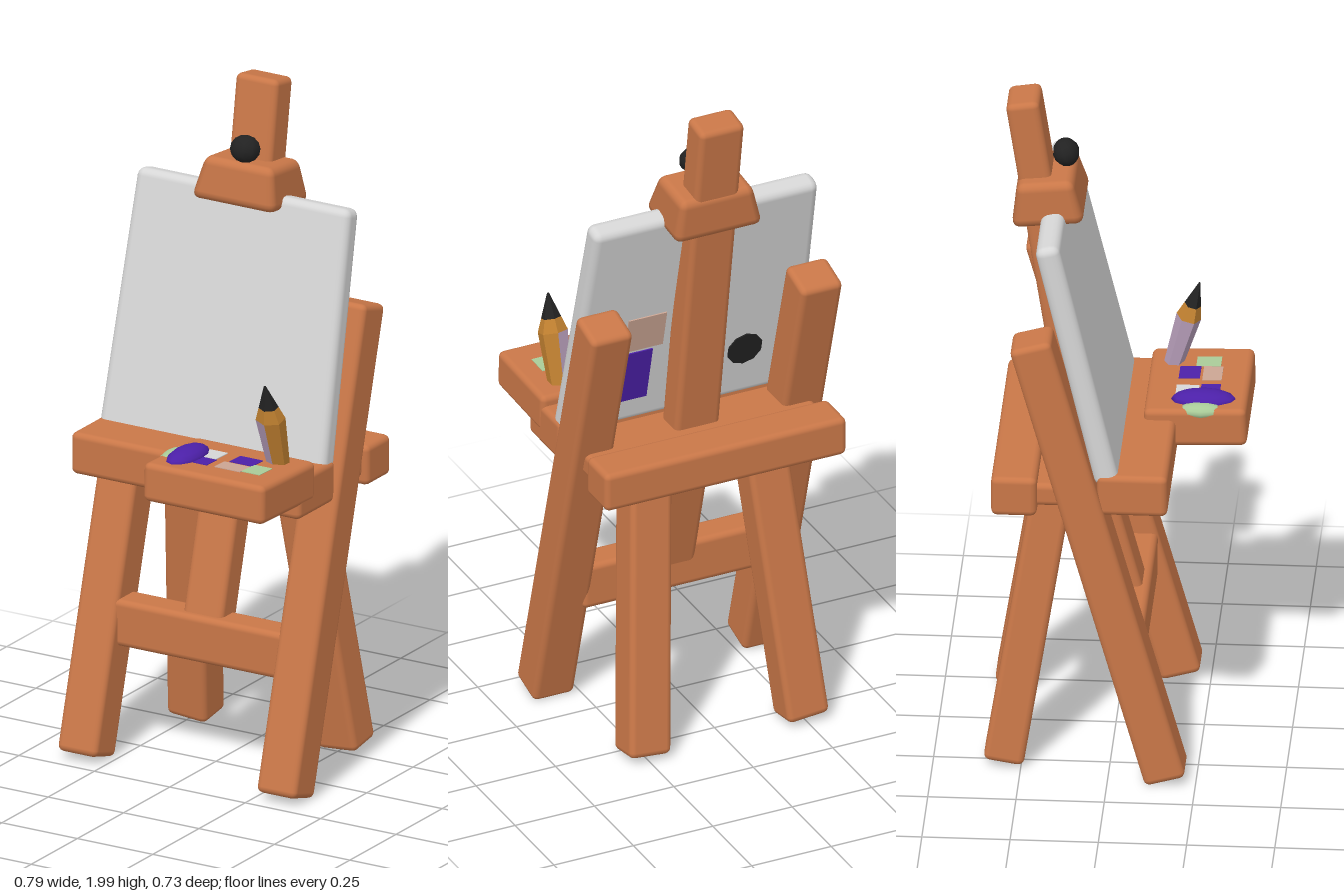
import * as THREE from 'three';
import { RoundedBoxGeometry } from 'three/addons/geometries/RoundedBoxGeometry.js';

const mat = (name, color) => {
  const m = new THREE.MeshStandardMaterial({ color });
  m.name = name;
  return m;
};

export function createModel() {
  const wood = mat('wood', 0xc97748);
  const white = mat('canvasWhite', 0xd6d6d6);
  const black = mat('black', 0x222222);
  const purple = mat('purplePaint', 0x4c20a8);
  const green = mat('greenPaint', 0xa9cb98);
  const pink = mat('pinkPaint', 0xcba593);
  const gold = mat('pencilGold', 0xc08030);
  const lavender = mat('pencilLavender', 0xb59cb8);

  const model = new THREE.Group();
  const UP = new THREE.Vector3(0, 1, 0);

  const add = (name, geo, material, x, y, z, parent = model) => {
    const mesh = new THREE.Mesh(geo, material);
    mesh.name = name;
    mesh.position.set(x, y, z);
    parent.add(mesh);
    return mesh;
  };

  // Soft-edged block whose width and depth can shrink towards the top
  const block = (w, h, d, r = 0.018, taperX = 1, taperZ = 1) => {
    const geo = new RoundedBoxGeometry(w, h, d, 2, r);
    const p = geo.attributes.position;
    for (let i = 0; i < p.count; i++) {
      const t = p.getY(i) / h + 0.5;
      p.setX(i, p.getX(i) * (1 + (taperX - 1) * t));
      p.setZ(i, p.getZ(i) * (1 + (taperZ - 1) * t));
    }
    return geo;
  };

  // Straight timber between two points
  const beam = (name, from, to, w, d) => {
    const a = new THREE.Vector3(...from), b = new THREE.Vector3(...to);
    const mid = a.clone().add(b).multiplyScalar(0.5);
    const mesh = add(name, block(w, a.distanceTo(b), d), wood, mid.x, mid.y, mid.z);
    mesh.quaternion.setFromUnitVectors(UP, b.sub(a).normalize());
    return mesh;
  };

  // Legs, mirrored left and right
  for (const s of [1, -1]) {
    const side = s > 0 ? 'left' : 'right';
    beam(side + 'FrontLeg', [0.33 * s, 0.017, 0.165], [0.33 * s, 1.385, -0.22], 0.13, 0.12);
    beam(side + 'BackLeg', [0.25 * s, 0.017, -0.3], [0.175 * s, 0.92, -0.155], 0.13, 0.115);
  }

  // Braces and upright post
  add('crossbar', block(0.58, 0.14, 0.1), wood, 0, 0.4, 0.05);
  beam('lowerPost', [0, 0.38, 0.055], [0, 0.9, -0.085], 0.13, 0.09);
  beam('upperPost', [0, 0.88, -0.09], [0, 1.99, -0.263], 0.14, 0.095);

  // Shelf
  add('shelfBackBar', block(0.76, 0.12, 0.13), wood, 0, 0.9, -0.265);
  add('shelfBoard', block(0.72, 0.07, 0.36), wood, 0, 0.9, -0.07);
  add('shelfFrontBar', block(0.76, 0.125, 0.2), wood, 0, 0.913, 0.07);

  // Canvas board, leaning back
  const canvas = new THREE.Group();
  canvas.name = 'canvas';
  canvas.position.set(0, 1.31, -0.088);
  canvas.rotation.x = -0.235;
  model.add(canvas);
  add('canvasBoard', block(0.75, 0.755, 0.07, 0.025, 0.94), white, 0, 0, 0, canvas);

  // Paint marks on the back of the canvas
  const mark = (name, w, h, x, y, m) =>
    add(name, new THREE.BoxGeometry(w, h, 0.006), m, x, y, -0.036, canvas);
  mark('purpleBackMark', 0.14, 0.18, 0.19, -0.2, purple);
  mark('pinkBackMark', 0.12, 0.12, 0.15, -0.04, pink);
  const dark = add('blackBackMark', new THREE.CylinderGeometry(0.055, 0.055, 0.006, 10),
    black, -0.18, -0.2, -0.036, canvas);
  dark.rotation.x = Math.PI / 2;

  // Clamp at the top of the canvas, with its knob
  const clamp = add('clamp', block(0.28, 0.125, 0.21, 0.025, 0.8, 0.75), wood, 0, 1.7, -0.19);
  clamp.rotation.x = -0.1;
  const knob = add('knob', new THREE.SphereGeometry(1, 10, 7), black, 0.01, 1.805, -0.142);
  knob.scale.set(0.046, 0.04, 0.038);
  knob.rotation.x = -0.4;

  // Paint tray
  const tray = add('paintTray', block(0.4, 0.115, 0.29), wood, 0.182, 0.952, 0.225);
  tray.rotation.x = -0.03;

  // Paint dabs: [name, material, x, z, width, depth]
  const dabs = [
    ['purpleDab', purple, 0.123, 0.26, 0.045, 0.055],
    ['purpleDab', purple, 0.22, 0.195, 0.075, 0.06],
    ['whiteDab', white, 0.11, 0.195, 0.06, 0.065],
    ['pinkDab', pink, 0.213, 0.26, 0.085, 0.055],
    ['greenDab', green, 0.286, 0.245, 0.06, 0.07],
  ];
  for (const [name, m, x, z, w, d] of dabs) {
    const dab = add(name, new THREE.BoxGeometry(w, 0.008, d), m, x, 1.007 + (z - 0.21) * 0.03, z);
    dab.rotation.x = -0.03;
  }
  const blob = add('purpleBlob', new THREE.SphereGeometry(1, 12, 8), purple, 0.056, 1.008, 0.245);
  blob.scale.set(0.047, 0.03, 0.093);
  const greenBlob = add('greenBlob', new THREE.SphereGeometry(1, 10, 8), green, 0.009, 0.998, 0.24);
  greenBlob.scale.set(0.032, 0.022, 0.064);

  // Faceted pencil, one half of each colour
  const pencil = new THREE.Group();
  pencil.name = 'pencil';
  pencil.position.set(0.295, 0.995, 0.142);
  pencil.rotation.x = 0.28;
  model.add(pencil);
  const facet = (name, top, bottom, y0, y1, m, start = 0, sweep = Math.PI * 2) => {
    const sides = sweep > 4 ? 6 : 3;
    const geo = new THREE.CylinderGeometry(top, bottom, y1 - y0, sides, 1, false, start, sweep)
      .toNonIndexed();
    geo.computeVertexNormals();
    add(name, geo, m, 0, (y0 + y1) / 2, 0, pencil).scale.z = 0.8;
  };
  facet('pencilLeftSide', 0.045, 0.034, 0, 0.16, gold, 0, Math.PI);
  facet('pencilRightSide', 0.045, 0.034, 0, 0.16, lavender, Math.PI, Math.PI);
  facet('pencilShoulder', 0.028, 0.045, 0.16, 0.205, gold);
  facet('pencilTip', 0.003, 0.03, 0.2, 0.272, black);

  return model;
}
